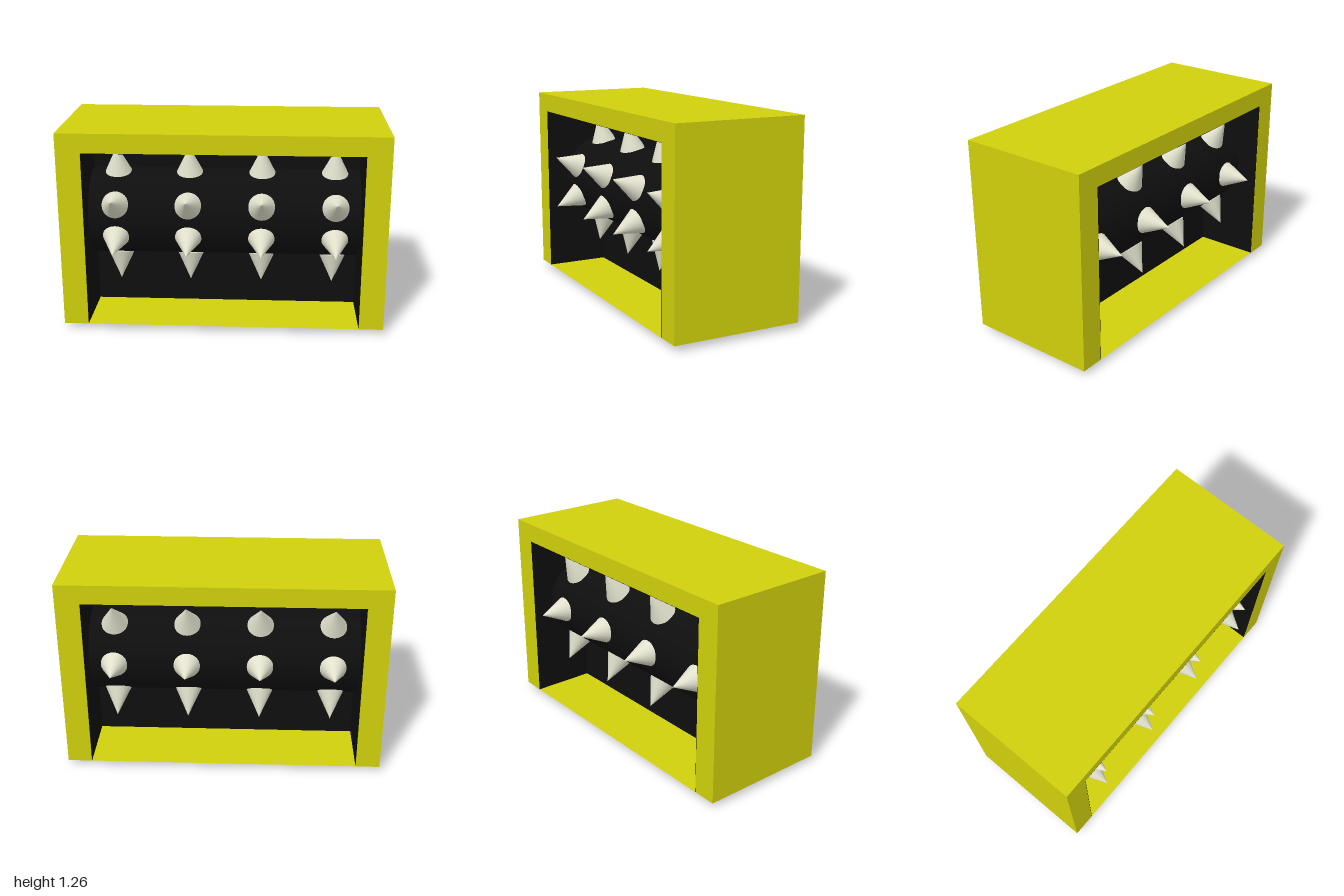
import * as THREE from 'three';

const BOTTOM = 0.035, TOP = 1.265, CEILING = 1.145, INNER = 0.85;
const BACK = -0.4, FRONT = 0.435, MID = (FRONT + BACK) / 2, DEPTH = FRONT - BACK;
const AXIS_Y = 0.67, DRUM_R = 0.28;

export function createModel() {
  const model = new THREE.Group();
  model.name = 'spikedRollerBox';

  const yellow = new THREE.MeshStandardMaterial({ color: 0xd0d00c, side: THREE.DoubleSide });
  const black = new THREE.MeshStandardMaterial({ color: 0x0e0e0e, side: THREE.DoubleSide });
  const cream = new THREE.MeshStandardMaterial({ color: 0xe0e0cc });

  const add = (name, geometry, material, x, y, z, parent = model) => {
    const mesh = new THREE.Mesh(geometry, material);
    mesh.name = name;
    mesh.position.set(x, y, z);
    parent.add(mesh);
    return mesh;
  };

  // Housing: two thick walls and a roof, open at front and back
  const arch = new THREE.Shape([
    [-1, BOTTOM], [-INNER, BOTTOM], [-INNER, CEILING], [INNER, CEILING],
    [INNER, BOTTOM], [1, BOTTOM], [1, TOP], [-1, TOP],
  ].map(([x, y]) => new THREE.Vector2(x, y)));
  add('housing', new THREE.ExtrudeGeometry(arch, { depth: DEPTH, bevelEnabled: false }),
    yellow, 0, 0, BACK);

  // Thin floor between the walls
  add('floor', new THREE.PlaneGeometry(INNER * 2, DEPTH), yellow, 0, BOTTOM, MID).rotation.x = -Math.PI / 2;

  // Black lining of walls and ceiling
  const wallHeight = CEILING - BOTTOM;
  for (const side of [-1, 1]) {
    add(side > 0 ? 'leftLining' : 'rightLining', new THREE.PlaneGeometry(DEPTH, wallHeight), black,
      side * (INNER - 0.002), BOTTOM + wallHeight / 2, MID).rotation.y = -side * Math.PI / 2;
  }
  add('ceilingLining', new THREE.PlaneGeometry(INNER * 2, DEPTH), black,
    0, CEILING - 0.002, MID).rotation.x = Math.PI / 2;

  // Central divider, which pokes through the floor
  add('divider', new THREE.BoxGeometry(INNER * 2, CEILING, 0.004), black, 0, CEILING / 2, MID);

  // Drum running from wall to wall
  const roller = new THREE.Group();
  roller.name = 'roller';
  roller.position.set(0, AXIS_Y, MID);
  model.add(roller);
  add('drum', new THREE.CylinderGeometry(DRUM_R, DRUM_R, INNER * 2 - 0.006, 64), black,
    0, 0, 0, roller).rotation.z = Math.PI / 2;

  // Four rings of seven spikes; angles in degrees upward from the front
  const length = 0.18, baseRadius = 0.277;
  const spike = new THREE.ConeGeometry(0.084, length, 40);
  spike.translate(0, baseRadius + length / 2, 0);
  for (const x of [-0.68, -0.225, 0.233, 0.69]) {
    for (const angle of [22, 77, 124, 180, -124, -77, -22]) {
      add('spike', spike, cream, x, 0, 0, roller).rotation.x = THREE.MathUtils.degToRad(90 - angle);
    }
  }
  return model;
}
